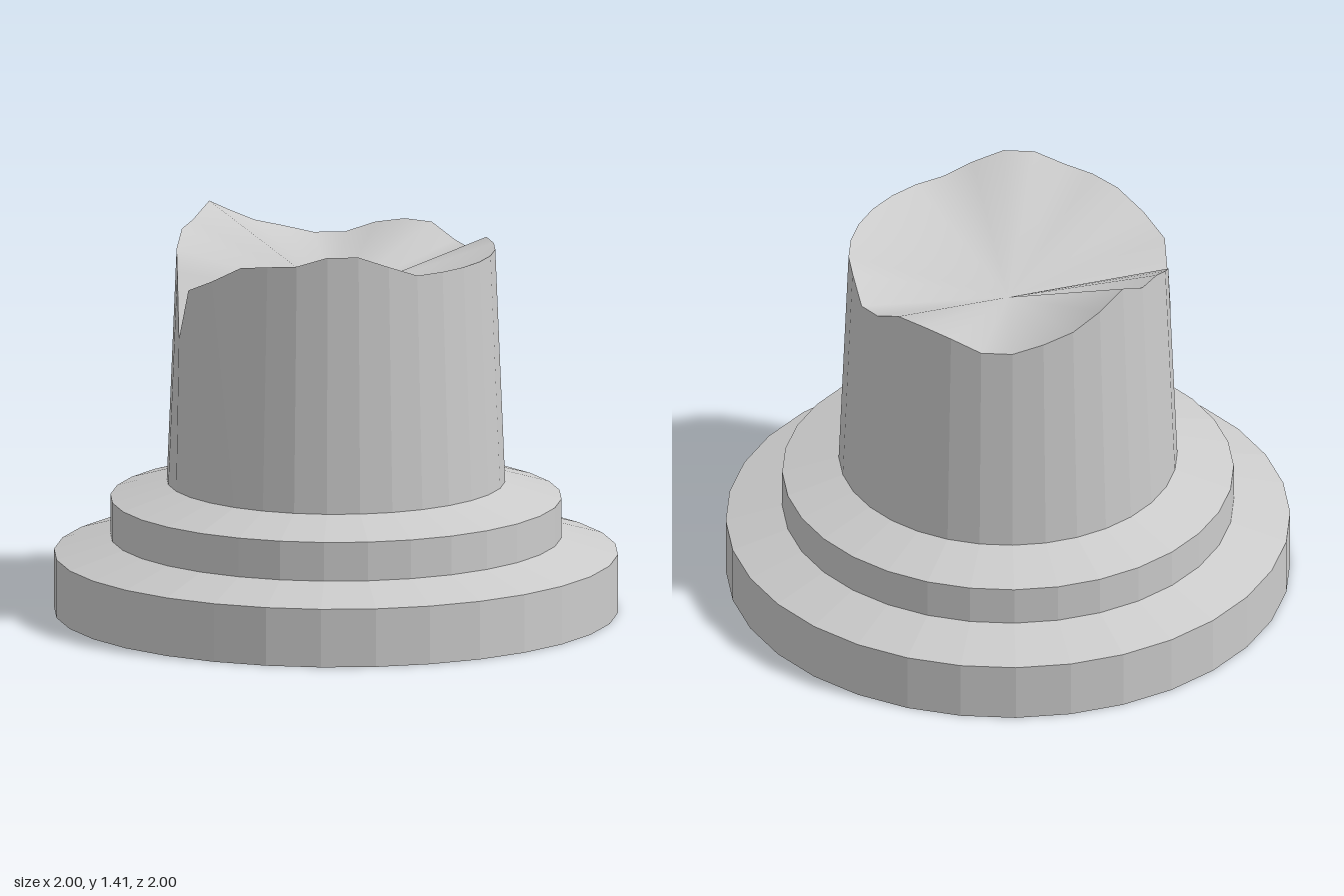
import * as THREE from 'three';

const SIDES = 32;

// Height of the broken rim, one value per side, starting at the front and turning towards +x
const RIM = [
  1.35, 1.31, 1.31, 1.31, 1.31, 1.31, 1.31, 1.31,
  1.31, 1.24, 1.26, 1.31, 1.31, 1.29, 1.25, 1.25,
  1.28, 1.31, 1.36, 1.41, 1.36, 1.35, 1.30, 1.24,
  1.02, 1.22, 1.27, 1.33, 1.345, 1.355, 1.39, 1.39,
];
// Rim points beside the deep notch that bulge outwards
const BULGE = { 24: 0.59, 25: 0.608, 26: 0.59 };
const FOOT_Y = 0.47, FOOT_R = 0.6, CENTRE_Y = 1.13;

function ringPoint(i, r, y) {
  const a = (i / SIDES) * Math.PI * 2;
  return [r * Math.sin(a), y, r * Math.cos(a)];
}

function rimPoint(i) {
  const k = i % SIDES;
  const r = BULGE[k] ?? FOOT_R - 0.035 * (RIM[k] - FOOT_Y) / 0.84;
  return ringPoint(k, r, RIM[k]);
}

function buildGeometry(positions, index) {
  const g = new THREE.BufferGeometry();
  g.setAttribute('position', new THREE.Float32BufferAttribute(positions, 3));
  g.setIndex(index);
  g.computeVertexNormals();
  return g;
}

export function createModel() {
  const group = new THREE.Group();
  const faceted = new THREE.MeshStandardMaterial({ color: 0xcccccc, flatShading: true });
  const smooth = new THREE.MeshStandardMaterial({ color: 0xcccccc });

  function add(name, geometry, material) {
    const mesh = new THREE.Mesh(geometry, material);
    mesh.name = name;
    group.add(mesh);
  }

  // Stepped plinth with sloping ledges, closed underneath
  const profile = [[0, 0], [1, 0], [1, 0.21], [0.8, 0.27], [0.8, 0.41], [FOOT_R, FOOT_Y]];
  add('steppedBase', new THREE.LatheGeometry(profile.map(p => new THREE.Vector2(...p)), SIDES), faceted);

  // Tapered shaft wall reaching up to the jagged rim
  const wall = [], wallIndex = [];
  for (let i = 0; i <= SIDES; i++) {
    wall.push(...ringPoint(i, FOOT_R, FOOT_Y), ...rimPoint(i));
    if (i < SIDES) {
      const a = i * 2;
      wallIndex.push(a, a + 2, a + 1, a + 1, a + 2, a + 3);
    }
  }
  add('brokenShaft', buildGeometry(wall, wallIndex), faceted);

  // Hollowed break surface, fanning from the sunken centre to the rim
  const dish = [0, CENTRE_Y, 0], dishIndex = [];
  for (let i = 0; i < SIDES; i++) {
    dish.push(...rimPoint(i));
    dishIndex.push(0, i + 1, ((i + 1) % SIDES) + 1);
  }
  add('breakSurface', buildGeometry(dish, dishIndex), smooth);

  return group;
}
